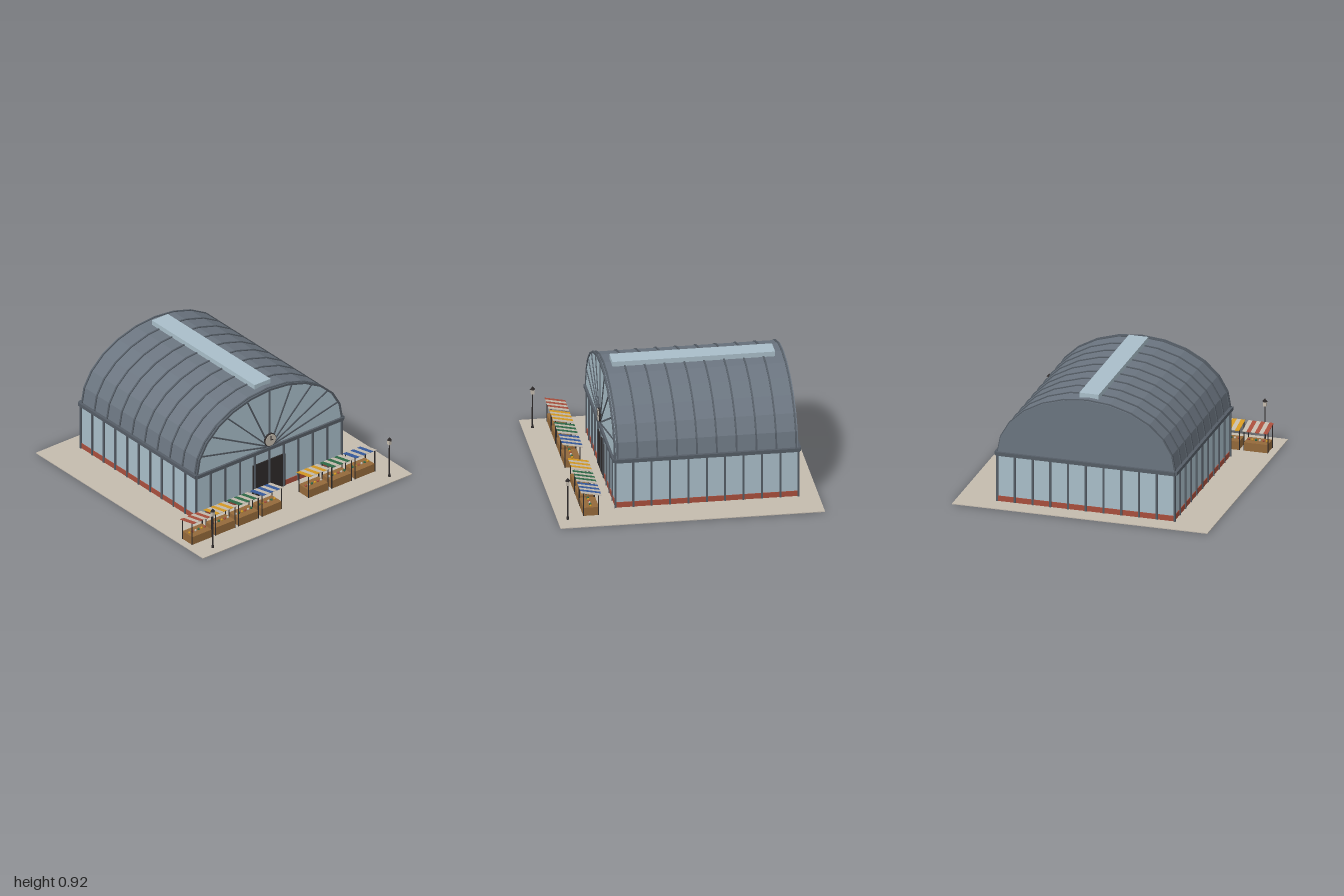
import * as THREE from 'three';

const mat = (name, color) => {
  const m = new THREE.MeshStandardMaterial({ color });
  m.name = name;
  return m;
};

export function createModel() {
  const stone = mat('stone cream', 0xc4bbae);
  const glass = mat('pale glass', 0xa9bec9);
  const roofGrey = mat('roof grey', 0x6b7580);
  const iron = mat('iron frame', 0x555d66);
  const brick = mat('brick red', 0xa84e3c);
  const wood = mat('wood', 0x94693a);
  const dark = mat('near black', 0x2e2a2a);
  const yellow = mat('yellow', 0xd69a22);
  const green = mat('green', 0x2f6a48);
  const blue = mat('blue', 0x365a9c);

  const model = new THREE.Group();
  model.name = 'marketHall';

  const add = (parent, name, geometry, material, x = 0, y = 0, z = 0) => {
    const mesh = new THREE.Mesh(geometry, material);
    mesh.name = name;
    mesh.position.set(x, y, z);
    parent.add(mesh);
    return mesh;
  };
  const box = (parent, name, material, w, h, d, x, y, z) =>
    add(parent, name, new THREE.BoxGeometry(w, h, d), material, x, y, z);
  const group = (name, x = 0, y = 0, z = 0) => {
    const g = new THREE.Group();
    g.name = name;
    g.position.set(x, y, z);
    model.add(g);
    return g;
  };

  // Paved square
  box(model, 'paving', stone, 2, 0.006, 2, 0, 0.003, 0);

  // Hall walls: glazed box on a brick plinth with iron posts
  const half = 0.692, midZ = -0.154, eaves = 0.39, bay = 0.139;
  const hall = group('hall', 0, 0, midZ);
  box(hall, 'glassWalls', glass, half * 2 - 0.01, eaves - 0.004, half * 2 - 0.01, 0, 0.004 + (eaves - 0.004) / 2, 0);
  box(hall, 'plinth', brick, half * 2, 0.044, half * 2, 0, 0.026, 0);
  box(hall, 'door', dark, 0.305, 0.28, 0.01, 0, 0.144, half - 0.001);
  for (let i = -5; i <= 5; i++) {
    for (const s of [-1, 1]) {
      box(hall, 'endPost', iron, 0.014, eaves - 0.004, 0.014, i * bay, 0.197, s * half);
      if (Math.abs(i) < 5) box(hall, 'sidePost', iron, 0.014, eaves - 0.004, 0.014, s * half, 0.197, i * bay);
    }
  }
  for (const s of [-1, 1]) {
    box(hall, 'endCornice', iron, 1.4, 0.028, 0.03, 0, eaves, s * 0.698);
    box(hall, 'sideCornice', iron, 0.03, 0.028, 1.4, s * 0.7, eaves, 0);
  }

  // Vaulted roof: twelve-sided half ellipse run along z
  const arc = (rx, ry) => Array.from({ length: 13 }, (_, i) => {
    const a = (i / 12) * Math.PI;
    return new THREE.Vector2(rx * Math.cos(a), ry * Math.sin(a));
  });
  const extrude = (points, depth) =>
    new THREE.ExtrudeGeometry(new THREE.Shape(points), { depth, bevelEnabled: false });
  const band = (rx, ry, t, depth) => extrude([...arc(rx, ry), ...arc(rx - t, ry - t).reverse()], depth);

  const roof = group('roof', 0, 0.398, 0);
  add(roof, 'vault', extrude(arc(0.692, 0.491), 1.378), roofGrey, 0, 0, -0.846);
  const ribGeometry = band(0.7, 0.498, 0.02, 0.013);
  for (let i = 0; i < 10; i++) add(roof, 'roofRib', ribGeometry, iron, 0, 0, -0.837 + i * 0.15);
  box(roof, 'skylight', glass, 0.152, 0.042, 1.23, 0, 0.501, -0.153);

  // Front fan window
  add(roof, 'fanGlass', extrude(arc(0.693, 0.491), 0.01), glass, 0, 0, 0.532);
  add(roof, 'fanRim', band(0.7, 0.499, 0.016, 0.014), iron, 0, 0, 0.534);
  for (let i = 1; i < 10; i++) {
    const a = (i * Math.PI) / 10;
    const x = 0.682 * Math.cos(a), y = 0.482 * Math.sin(a);
    const bar = box(roof, 'fanBar', iron, Math.hypot(x, y), 0.011, 0.01, x / 2, y / 2, 0.544);
    bar.rotation.z = Math.atan2(y, x);
  }

  // Clock
  const clock = group('clock', 0, 0.462, 0.55);
  const disc = (name, r, h, m, z) => {
    add(clock, name, new THREE.CylinderGeometry(r, r, h, 24), m, 0, 0, z).rotation.x = Math.PI / 2;
  };
  disc('clockRim', 0.053, 0.016, dark, 0);
  disc('clockFace', 0.049, 0.004, stone, 0.008);
  box(clock, 'minuteHand', dark, 0.005, 0.038, 0.003, 0, 0.017, 0.011);
  box(clock, 'hourHand', dark, 0.026, 0.005, 0.003, 0.012, 0, 0.011);

  // Market stalls, leaving a gap before the door
  const awnings = [brick, yellow, green, blue];
  const goods = [yellow, brick, stone, green];
  const fruit = new THREE.SphereGeometry(0.0095, 8, 6);
  for (let i = 0; i < 8; i++) {
    if (i === 4) continue;
    const stall = group('stall', -0.848 + i * 0.2227, 0, 0.738);
    box(stall, 'counter', wood, 0.186, 0.068, 0.118, 0, 0.038, 0);
    for (const sx of [-1, 1]) {
      box(stall, 'frontPole', dark, 0.006, 0.183, 0.006, sx * 0.094, 0.0965, 0.058);
      box(stall, 'backPole', dark, 0.006, 0.161, 0.006, sx * 0.094, 0.0855, -0.055);
    }
    for (let k = 0; k < 6; k++) {
      const x = (k - 2.5);
      add(stall, 'produce', fruit, goods[(k + i) % 4], x * 0.029, 0.078, 0);
      const stripe = box(stall, 'awningStripe', k % 2 ? stone : awnings[i % 4], 0.033, 0.004, 0.158, x * 0.033, 0.182, -0.001);
      stripe.rotation.x = -0.197;
    }
  }

  // Street lamps
  for (const s of [-1, 1]) {
    const lamp = group('streetLamp', s * 0.845, 0, 0.922);
    add(lamp, 'lampBase', new THREE.CylinderGeometry(0.008, 0.011, 0.024, 8), dark, 0, 0.016, 0);
    add(lamp, 'lampPost', new THREE.CylinderGeometry(0.005, 0.006, 0.28, 8), dark, 0, 0.144, 0);
    box(lamp, 'lantern', stone, 0.024, 0.036, 0.024, 0, 0.301, 0);
    add(lamp, 'lampCap', new THREE.ConeGeometry(0.022, 0.026, 4), dark, 0, 0.331, 0);
  }

  return model;
}
